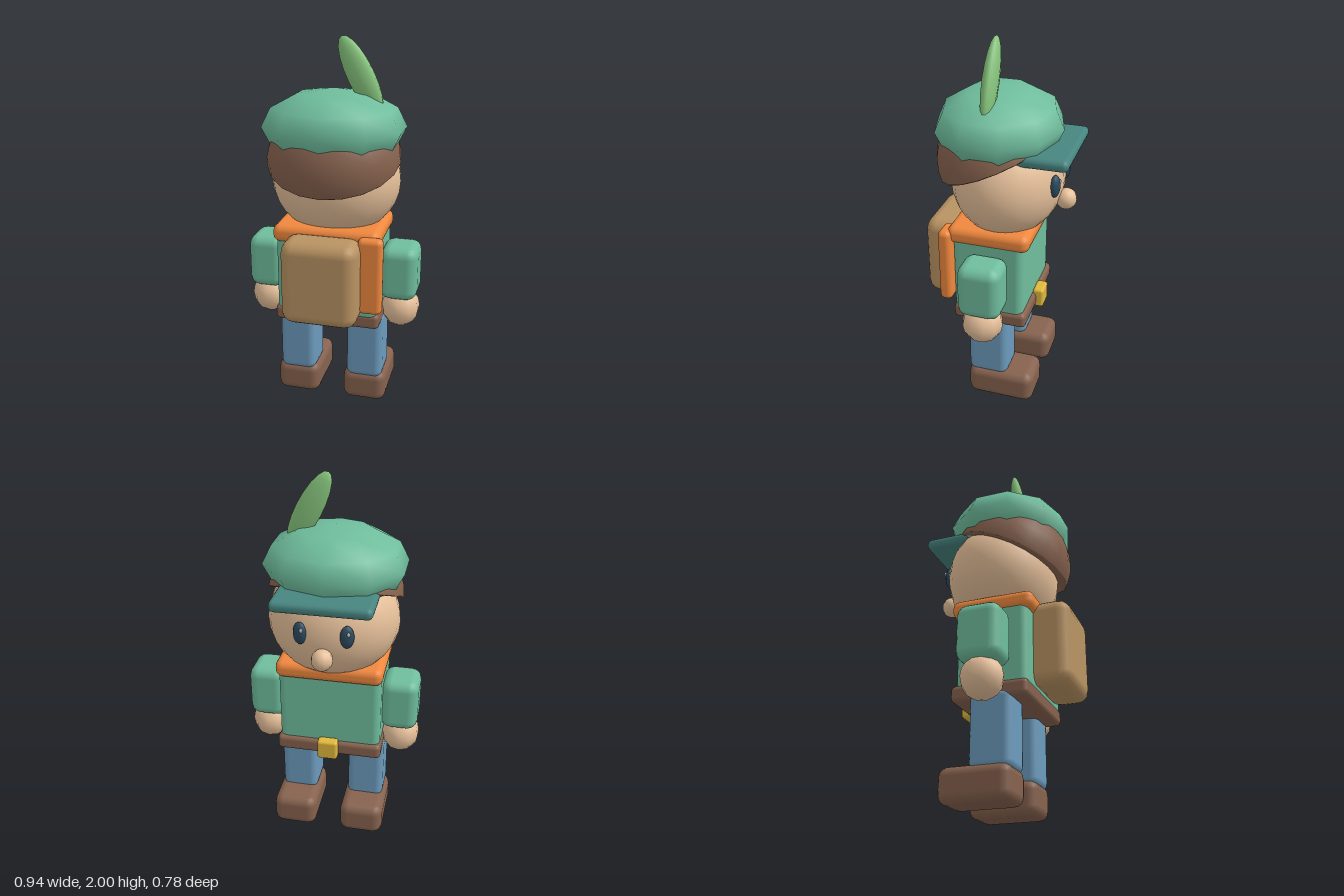
import * as THREE from 'three';
import { RoundedBoxGeometry } from 'three/addons/geometries/RoundedBoxGeometry.js';

const colors = {
  green: 0x6fbd9d, teal: 0x478580, skin: 0xe6c09a, brown: 0x86624e, orange: 0xf0883e,
  tan: 0xb99362, blue: 0x6c9bbd, yellow: 0xe0b83c, leaf: 0x86c47c, navy: 0x2c4a5e, white: 0xffffff,
};
const materials = {};
for (const [key, color] of Object.entries(colors)) {
  materials[key] = new THREE.MeshStandardMaterial({ color });
}

export function createModel() {
  const model = new THREE.Group();
  model.name = 'adventurer';

  function add(name, geometry, color, x, y, z) {
    const mesh = new THREE.Mesh(geometry, materials[color]);
    mesh.name = name;
    mesh.position.set(x, y, z);
    model.add(mesh);
    return mesh;
  }

  // Soft-edged box given by its limits on each axis
  function box(name, color, [x0, x1], [y0, y1], [z0, z1], radius) {
    const geometry = new RoundedBoxGeometry(x1 - x0, y1 - y0, z1 - z0, 2, radius);
    return add(name, geometry, color, (x0 + x1) / 2, (y0 + y1) / 2, (z0 + z1) / 2);
  }

  function ellipsoid(name, color, [x, y, z], [rx, ry, rz], around = 20, up = 14) {
    const geometry = new THREE.SphereGeometry(1, around, up);
    geometry.rotateY(Math.PI / 2).scale(rx, ry, rz);
    return add(name, geometry, color, x, y, z);
  }

  // Body
  box('torso', 'green', [-0.275, 0.275], [0.54, 1.0], [-0.18, 0.2], 0.04);
  box('belt', 'brown', [-0.285, 0.285], [0.495, 0.58], [-0.2, 0.2], 0.025);
  box('buckle', 'yellow', [-0.055, 0.055], [0.49, 0.6], [-0.24, -0.18], 0.015);
  box('scarf', 'orange', [-0.285, 0.285], [0.955, 1.05], [-0.21, 0.23], 0.04);

  // Limbs, mirrored
  for (const [side, s] of [['left', 1], ['right', -1]]) {
    const span = (a, b) => (s > 0 ? [a, b] : [-b, -a]);
    box(side + 'Shoe', 'brown', span(0.07, 0.31), [0, 0.18], [-0.25, 0.12], 0.05);
    box(side + 'Leg', 'blue', span(0.09, 0.29), [0.15, 0.54], [-0.1, 0.12], 0.04);
    box(side + 'Arm', 'green', span(0.265, 0.465), [0.635, 0.93], [-0.11, 0.12], 0.055);
    ellipsoid(side + 'Hand', 'skin', [s * 0.37, 0.565, 0.005], [0.105, 0.11, 0.11], 10, 8);
  }

  // Backpack with a bedroll at its side
  box('backpack', 'tan', [-0.2, 0.2], [0.565, 1.02], [0.18, 0.39], 0.065);
  box('bedroll', 'orange', [0.18, 0.31], [0.615, 1.03], [0.2, 0.27], 0.028);

  // Head and face
  ellipsoid('head', 'skin', [0, 1.26, -0.025], [0.345, 0.31, 0.295], 24, 16);
  ellipsoid('nose', 'skin', [0, 1.165, -0.335], [0.055, 0.057, 0.055], 12, 10);
  for (const [side, s] of [['left', 1], ['right', -1]]) {
    const eye = ellipsoid(side + 'Eye', 'navy', [s * 0.118, 1.285, -0.3], [0.036, 0.06, 0.025], 14, 10);
    eye.rotation.y = -s * 0.3;
    ellipsoid(side + 'EyeGlint', 'white', [s * 0.118 - 0.012, 1.31, -0.323], [0.009, 0.012, 0.006], 8, 6);
  }

  // Hair: closed half dome tipped down towards the back of the head
  const profile = [new THREE.Vector2(0, 0), new THREE.Vector2(0.985, 0)];
  for (let i = 0; i <= 8; i++) {
    const a = (i / 8) * Math.PI / 2;
    profile.push(new THREE.Vector2(i === 8 ? 0 : Math.cos(a), Math.sin(a) + 0.02));
  }
  const hair = new THREE.LatheGeometry(profile, 20);
  hair.scale(0.352, 0.3, 0.325);
  add('hair', hair, 'brown', 0, 1.372, 0.025).rotation.x = 0.43;

  // Cap with ten facets, peak and feather
  ellipsoid('cap', 'green', [0, 1.54, 0.022], [0.38, 0.2, 0.333], 10, 6);
  box('capPeak', 'teal', [-0.253, 0.253], [1.42, 1.48], [-0.39, -0.1], 0.028);
  const feather = ellipsoid('feather', 'leaf', [0.138, 1.802, 0.025], [0.07, 0.218, 0.04], 10, 10);
  feather.rotation.z = 0.48;

  return model;
}
